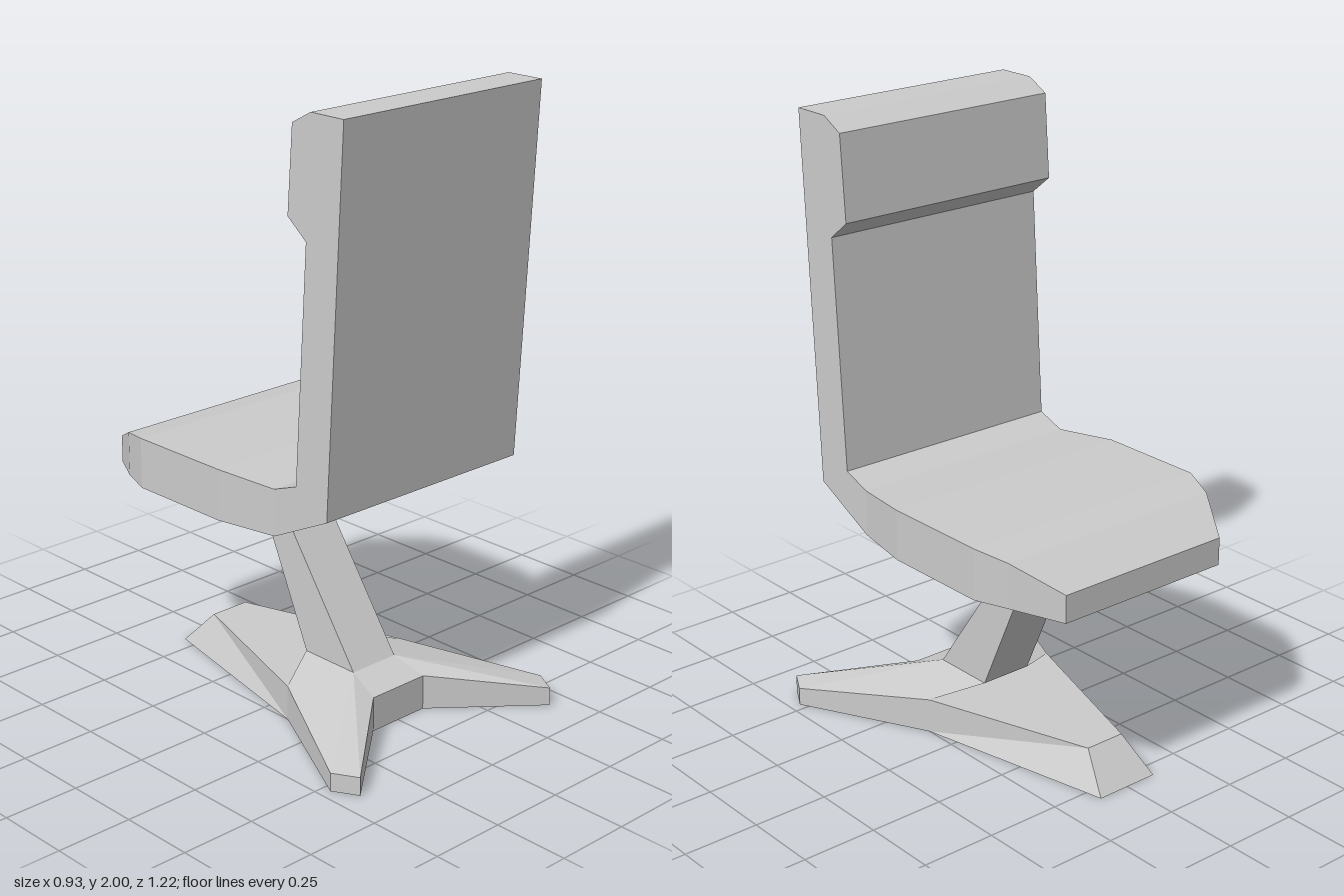
import * as THREE from 'three';

const material = new THREE.MeshStandardMaterial({ color: 0xcccccc, flatShading: true });

// Mesh from convex polygons, each a list of [x, y, z] corners
function polyMesh(name, faces) {
  const pos = [];
  for (const f of faces)
    for (let i = 1; i < f.length - 1; i++) pos.push(...f[0], ...f[i], ...f[i + 1]);
  const geo = new THREE.BufferGeometry();
  geo.setAttribute('position', new THREE.Float32BufferAttribute(pos, 3));
  geo.computeVertexNormals();
  const mesh = new THREE.Mesh(geo, material);
  mesh.name = name;
  return mesh;
}

// Loft of four-cornered sections: [halfWidth, outerZ, outerY, innerZ, innerY]
function loft(name, sections) {
  const rings = sections.map(([w, oz, oy, iz, iy]) =>
    [[-w, oy, oz], [w, oy, oz], [w, iy, iz], [-w, iy, iz]]);
  const faces = [rings[0], [...rings[rings.length - 1]].reverse()];
  for (let i = 0; i < rings.length - 1; i++)
    for (let j = 0; j < 4; j++) {
      const k = (j + 1) % 4, a = rings[i], b = rings[i + 1];
      faces.push([a[j], b[j], b[k], a[k]]);
    }
  return polyMesh(name, faces);
}

// Backrest with head cushion, inner profile against a straight rear face
function createBackrest() {
  const inner = [[0.38, 2], [0.305, 1.96], [0.285, 1.69], [0.36, 1.63], [0.315, 0.885]];
  return loft('backrest', inner.map(([z, y], i) => {
    const oy = i === 4 ? 0.81 : y;
    return [0.4, 0.445 + 0.065 * (oy - 0.81) / 1.19, oy, z, y];
  }));
}

// Seat widening in the middle and tapering to a drooping front lip
function createSeat() {
  return loft('seat', [
    [0.4, 0.445, 0.81, 0.315, 0.885],
    [0.4, 0.22, 0.7, 0.22, 0.85],
    [0.44, 0.015, 0.7, 0.015, 0.865],
    [0.44, -0.35, 0.7, -0.35, 0.865],
    [0.4, -0.46, 0.7, -0.46, 0.845],
    [0.31, -0.61, 0.68, -0.61, 0.77],
  ]);
}

// Slanted stem, flared under the seat
function createStem() {
  return loft('stem', [
    [0.15, -0.04, 0.705, -0.2, 0.705],
    [0.09, -0.055, 0.575, -0.165, 0.575],
    [0.09, 0.24, 0.155, 0.025, 0.155],
  ]);
}

// Three-legged foot, one half mirrored across x
function createBase() {
  const ground = ([x, , z]) => [x, 0, z];
  const mid = ([, y, z]) => [0, y, z];
  const tipOut = [0.465, 0.06, 0.53], tipIn = [0.42, 0.06, 0.61];
  const elbow = [0.25, 0.115, 0.11], notch = [0.11, 0.115, 0.35];
  const stemRear = [0.09, 0.155, 0.24], stemFront = [0.09, 0.155, 0.025];
  const toeTop = [0.07, 0.115, -0.45], toe = [0.11, 0, -0.555];
  const wall = (a, b) => [ground(a), ground(b), b, a];

  const half = [
    // side leg
    [stemRear, notch, tipIn, tipOut, elbow, stemFront],
    wall(notch, tipIn),
    wall(tipIn, tipOut),
    wall(tipOut, elbow),
    // single leg
    [ground(elbow), toe, toeTop, elbow],
    [elbow, toeTop, mid(toeTop), mid(elbow)],
    [toe, mid(toe), mid(toeTop), toeTop],
    // hub
    [stemFront, elbow, mid(elbow), mid(stemFront)],
    [mid(ground(notch)), ground(notch), notch, mid(notch)],
    [mid(notch), notch, stemRear, mid(stemRear)],
    // underside
    [elbow, tipOut, tipIn, notch, mid(notch), mid(toe), toe].map(ground),
  ];
  const mirrored = half.map(f => f.map(([x, y, z]) => [-x, y, z]).reverse());
  // keep the fan corner of each mirrored face the same
  mirrored.forEach(f => f.unshift(f.pop()));
  return polyMesh('base', [...half, ...mirrored]);
}

export function createModel() {
  const group = new THREE.Group();
  group.name = 'chair';
  group.add(createBackrest(), createSeat(), createStem(), createBase());
  return group;
}
